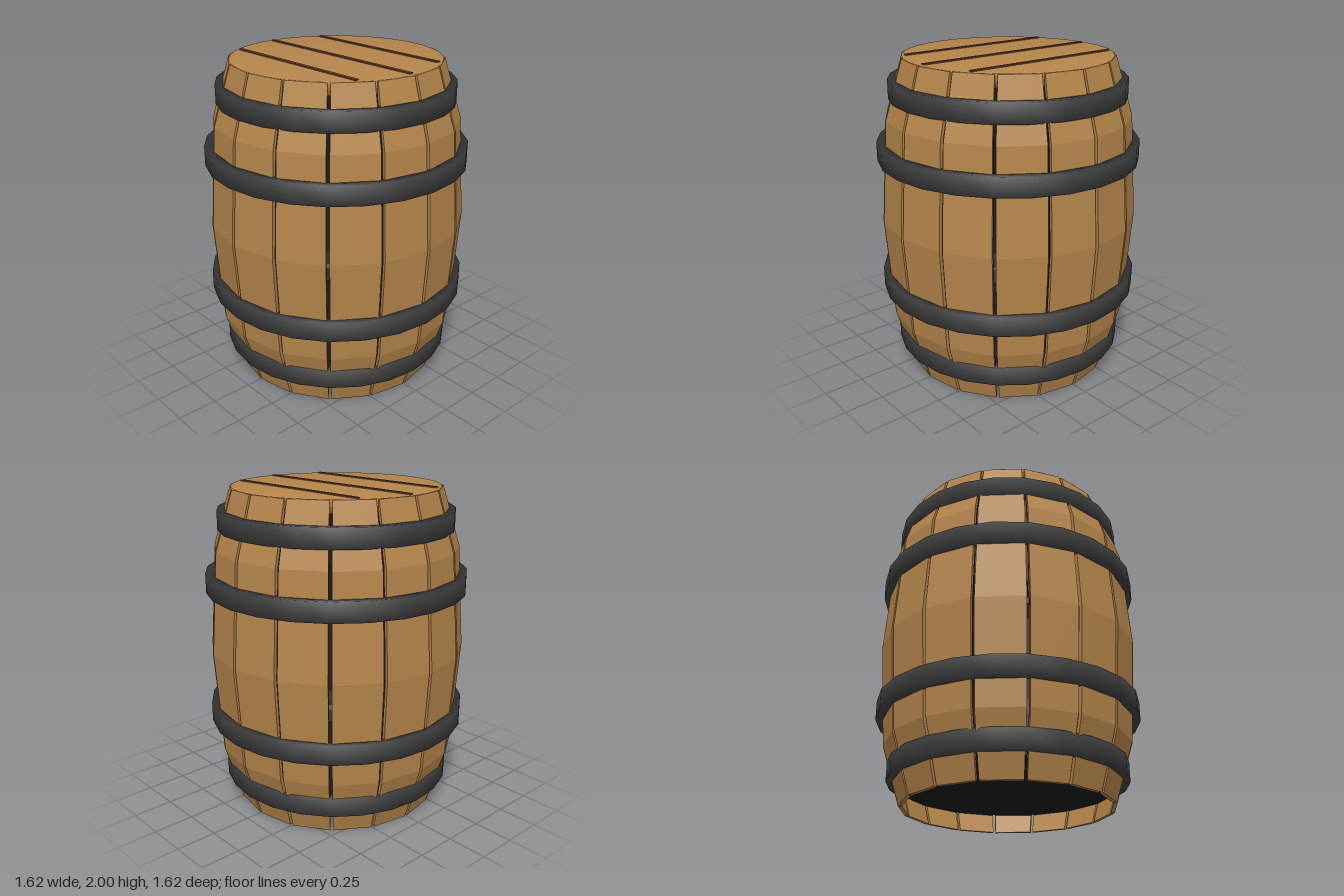
import * as THREE from 'three';
import { mergeVertices } from 'three/addons/utils/BufferGeometryUtils.js';

const STAVES = 16;
// barrel outline: [height, outer radius]
const OUTLINE = [[0, 0.645], [0.36, 0.755], [1, 0.8], [1.63, 0.755], [1.99, 0.645]];

function radiusAt(y) {
  for (let i = 1; i < OUTLINE.length; i++) {
    const [y0, r0] = OUTLINE[i - 1], [y1, r1] = OUTLINE[i];
    if (y <= y1) return r0 + (r1 - r0) * (y - y0) / (y1 - y0);
  }
  return OUTLINE[OUTLINE.length - 1][1];
}

// curved plank: four-cornered sections lofted through the given heights
function plankGeometry(heights, outerInset, innerInset) {
  const half = Math.PI / STAVES - 0.0125;
  const pos = [], idx = [];
  for (const y of heights) {
    const ro = radiusAt(y) - outerInset, ri = radiusAt(y) - innerInset;
    for (const [r, a] of [[ro, -half], [ro, half], [ri, half], [ri, -half]]) {
      pos.push(r * Math.sin(a), y, r * Math.cos(a));
    }
  }
  const quad = (a, b, c, d) => idx.push(a, b, c, a, c, d);
  for (let i = 0; i < heights.length - 1; i++) {
    for (let k = 0; k < 4; k++) {
      const a = i * 4 + k, b = i * 4 + (k + 1) % 4;
      quad(a, b, b + 4, a + 4);
    }
  }
  const t = (heights.length - 1) * 4;
  quad(3, 2, 1, 0);
  quad(t, t + 1, t + 2, t + 3);
  const g = new THREE.BufferGeometry();
  g.setAttribute('position', new THREE.Float32BufferAttribute(pos, 3));
  g.setIndex(idx);
  const flat = g.toNonIndexed();
  flat.computeVertexNormals();
  return flat;
}

// disc whose shading rolls softly over its rim
function softDisc(radius, height) {
  const g = new THREE.CylinderGeometry(radius, radius, height, 32);
  g.deleteAttribute('normal');
  g.deleteAttribute('uv');
  const merged = mergeVertices(g);
  merged.computeVertexNormals();
  return merged;
}

export function createModel() {
  const material = (name, color) => {
    const m = new THREE.MeshStandardMaterial({ color });
    m.name = name;
    return m;
  };
  const wood = material('wood', 0xb5854b);
  const grooveWood = material('dark wood', 0x6b4226);
  const iron = material('iron', 0x3d3d3d);
  const dark = material('dark interior', 0x1a1a1a);

  const barrel = new THREE.Group();
  barrel.name = 'barrel';
  const add = (name, geometry, mat, y = 0) => {
    const mesh = new THREE.Mesh(geometry, mat);
    mesh.name = name;
    mesh.position.y = y;
    barrel.add(mesh);
    return mesh;
  };

  // staves with a dark lining behind each, open gaps between them
  const staveGeo = plankGeometry(OUTLINE.map(p => p[0]), 0, 0.025);
  const liningGeo = plankGeometry([0.12, 0.36, 1, 1.63, 1.92], 0.025, 0.045);
  for (let i = 0; i < STAVES; i++) {
    const angle = (i + 0.5) * Math.PI * 2 / STAVES;
    add('stave', staveGeo, wood).rotation.y = angle;
    add('staveLining', liningGeo, dark).rotation.y = angle;
  }

  // iron hoops
  for (const [y, r] of [[0.2, 0.725], [0.58, 0.81], [1.42, 0.81], [1.8, 0.725]]) {
    const w = 0.06, h = 0.06;
    const profile = [[r - w, -h], [r, -h], [r, h], [r - w, h], [r - w, -h]]
      .map(p => new THREE.Vector2(p[0], p[1]));
    add('hoop', new THREE.LatheGeometry(profile, 24), iron, y);
  }

  // lid and recessed bottom
  add('lid', softDisc(0.635, 0.075), wood, 1.955);
  add('bottom', softDisc(0.64, 0.02), dark, 0.13);

  // dark seams across the lid
  for (const [x, length] of [[-0.32, 1.04], [0, 1.22], [0.32, 1.04]]) {
    add('lidSeam', new THREE.BoxGeometry(0.025, 0.009, length), grooveWood, 1.9955).position.x = x;
  }

  return barrel;
}
